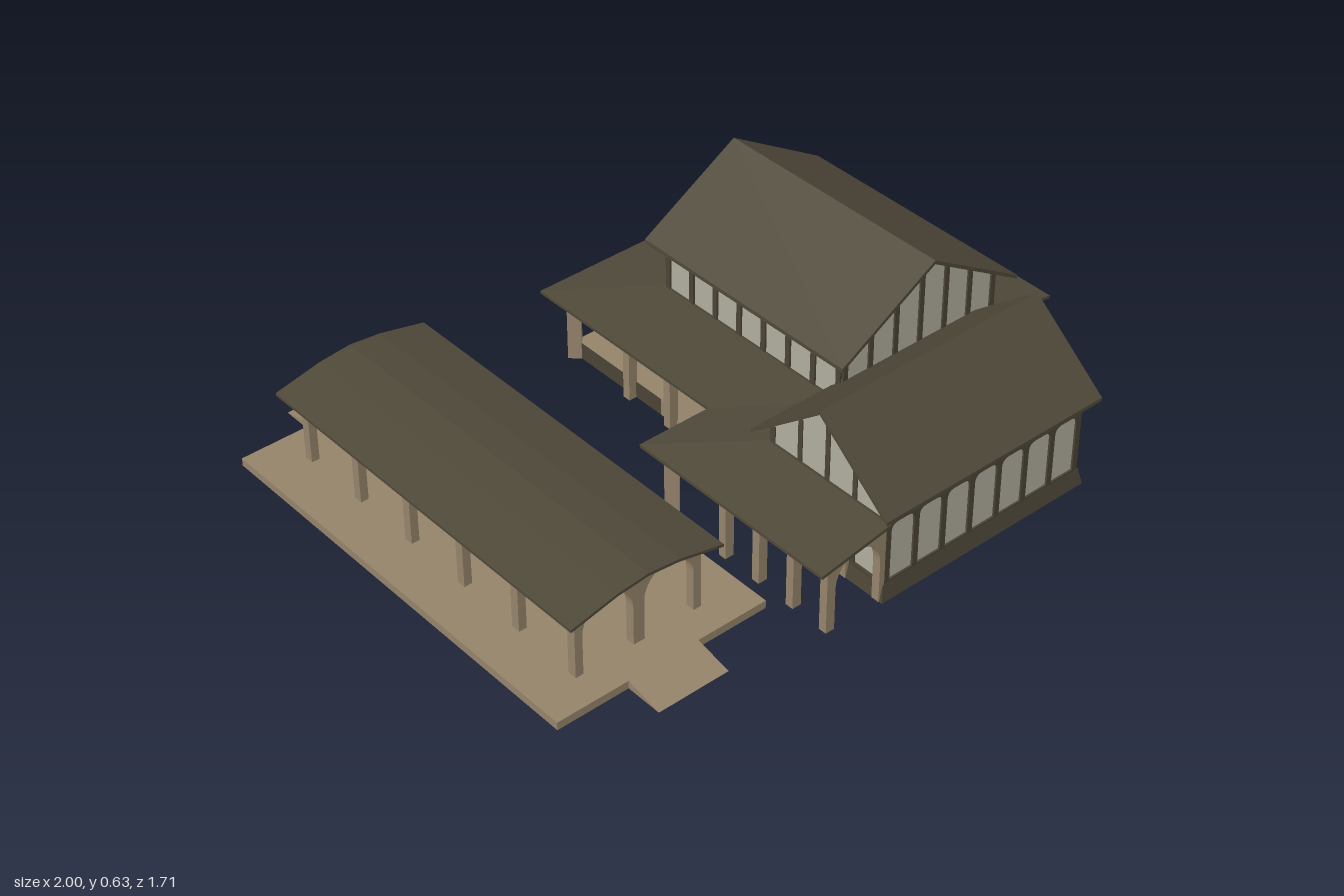
import * as THREE from 'three';

const mat = (name, color, side = THREE.FrontSide) => {
  const m = new THREE.MeshStandardMaterial({ color, side });
  m.name = name;
  return m;
};

export function createModel() {
  const root = new THREE.Group();
  root.name = 'stationBuildings';
  const plaster = mat('plaster', 0xb0ad9d, THREE.DoubleSide);
  const timber = mat('darkTimber', 0x4a4435);
  const roofing = mat('roofing', 0x4e4838, THREE.DoubleSide);
  const wood = mat('paleWood', 0x94836a);

  const add = (parent, name, geo, material, x = 0, y = 0, z = 0, ry = 0) => {
    const m = new THREE.Mesh(geo, material);
    m.name = name;
    m.position.set(x, y, z);
    m.rotation.y = ry;
    parent.add(m);
    return m;
  };
  const box = (parent, name, material, x0, x1, y0, y1, z0, z1) =>
    add(parent, name, new THREE.BoxGeometry(x1 - x0, y1 - y0, z1 - z0), material,
      (x0 + x1) / 2, (y0 + y1) / 2, (z0 + z1) / 2);
  const poly = (pts) => new THREE.Shape(pts.map(p => new THREE.Vector2(p[0], p[1])));
  const extrude = (shape, depth) =>
    new THREE.ExtrudeGeometry(shape, { depth, bevelEnabled: false, curveSegments: 10 });

  // Sloping slab: a top outline repeated lower down, with edges
  const slab = (parent, name, pts, t = 0.01) => {
    const pos = [], n = pts.length;
    const low = pts.map(p => [p[0], p[1] - t, p[2]]);
    for (let i = 1; i < n - 1; i++) {
      pos.push(...pts[0], ...pts[i], ...pts[i + 1], ...low[0], ...low[i + 1], ...low[i]);
    }
    for (let i = 0; i < n; i++) {
      const j = (i + 1) % n;
      pos.push(...pts[i], ...low[i], ...low[j], ...pts[i], ...low[j], ...pts[j]);
    }
    const g = new THREE.BufferGeometry();
    g.setAttribute('position', new THREE.Float32BufferAttribute(pos, 3));
    g.computeVertexNormals();
    return add(parent, name, g, roofing);
  };

  // Timber grid: a thin plate with one opening per bay, round-cornered at the top
  const timberFrame = (parent, name, len, n, y0, y1, r, x, z, ry) => {
    const s = poly([[-len / 2, y0], [len / 2, y0], [len / 2, y1], [-len / 2, y1]]);
    const w = 0.018, step = (len - w) / (n - 1);
    for (let i = 0; i < n - 1; i++) {
      const a = -len / 2 + w + i * step, b = a + step - w, top = y1 - 0.022;
      const h = new THREE.Path();
      h.moveTo(a, y0 + 0.012);
      h.lineTo(b, y0 + 0.012);
      h.lineTo(b, top - r);
      h.quadraticCurveTo(b, top, b - r, top);
      h.lineTo(a + r, top);
      h.quadraticCurveTo(a, top, a, top - r);
      s.holes.push(h);
    }
    add(parent, name, extrude(s, 0.006), timber, x, 0, z, ry);
  };

  // Timber-framed house with its ridge along local z
  const house = (name, x, z, ry, o) => {
    const g = new THREE.Group();
    g.name = name;
    g.position.set(x, 0, z);
    g.rotation.y = ry;
    root.add(g);
    const { hw, len, rhw, rlen, eave, ridge } = o;
    const roofY = u => ridge - (ridge - eave) * Math.abs(u) / rhw;
    const wallY = u => roofY(u) - 0.012;
    const outline = [[-hw, 0.015], [hw, 0.015], [hw, wallY(hw)], [0, wallY(0)], [-hw, wallY(hw)]];
    const wallH = wallY(hw) - 0.015;
    for (const s of [-1, 1]) {
      const endRy = s > 0 ? 0 : Math.PI;
      add(g, 'gableWall', new THREE.ShapeGeometry(poly(outline)), plaster, 0, 0, s * len / 2, endRy);
      add(g, 'sideWall', new THREE.PlaneGeometry(len, wallH), plaster,
        s * hw, 0.015 + wallH / 2, 0, s * Math.PI / 2);
      slab(g, 'roofSlope', [[0, ridge, -rlen / 2], [0, ridge, rlen / 2],
        [s * rhw, eave, rlen / 2], [s * rhw, eave, -rlen / 2]], 0.012);
      // Side framing in two tiers
      timberFrame(g, 'sideFrame', len, 8, 0.06, 0.277, 0.025, s * hw, 0, s * Math.PI / 2);
      timberFrame(g, 'upperSideFrame', len, 8, 0.265, wallY(hw), 0.002, s * hw, 0, s * Math.PI / 2);
      // Gable framing
      timberFrame(g, 'gableFrame', hw * 2, o.posts, 0.06, 0.277, 0.015, 0, s * len / 2, endRy);
      for (let i = 0; i < o.posts; i++) {
        const u = -hw + 0.009 + i * (2 * hw - 0.018) / (o.posts - 1);
        const top = wallY(Math.abs(u) + 0.008);
        box(g, 'gablePost', timber, u - 0.008, u + 0.008, 0.27, top, s * len / 2 - 0.003, s * len / 2 + 0.006);
      }
      const p = 0.045;
      add(g, 'gablePeak', extrude(poly([[-p, wallY(p)], [p, wallY(p)], [0, wallY(0)]]), 0.008),
        timber, 0, 0, s * len / 2 - 0.001);
    }
    return g;
  };

  house('mainHall', 0.465, 0.025, 0,
    { hw: 0.285, len: 0.71, rhw: 0.328, rlen: 0.8, eave: 0.43, ridge: 0.627, posts: 7 });
  const front = house('frontHall', 0.288, 0.597, Math.PI / 2,
    { hw: 0.215, len: 0.72, rhw: 0.255, rlen: 0.79, eave: 0.31, ridge: 0.515, posts: 5 });

  // Flared plinth of the front hall
  const pg = new THREE.BoxGeometry(0.464, 0.05, 0.752);
  const pp = pg.attributes.position;
  for (let i = 0; i < pp.count; i++) {
    if (pp.getY(i) > 0) pp.setXYZ(i, pp.getX(i) * 0.955, pp.getY(i), pp.getZ(i) * 0.97);
  }
  pg.computeVertexNormals();
  add(front, 'plinth', pg, timber, 0, 0.04, 0);
  box(root, 'mainPlinth', timber, 0.6, 0.765, 0.015, 0.06, 0.36, 0.395);

  // Arched doorway
  const archPath = (Type, r, y0, spring) => {
    const s = new Type();
    s.moveTo(-r, y0);
    s.lineTo(r, y0);
    s.lineTo(r, spring);
    s.absarc(0, spring, r, 0, Math.PI, false);
    s.lineTo(-r, y0);
    return s;
  };
  add(front, 'doorPanel', extrude(archPath(THREE.Shape, 0.1, 0.03, 0.13), 0.02), plaster, 0, 0, 0.358);
  const ring = archPath(THREE.Shape, 0.115, 0.03, 0.13);
  ring.holes.push(archPath(THREE.Path, 0.098, 0.036, 0.13));
  add(front, 'doorArch', extrude(ring, 0.035), timber, 0, 0, 0.358);
  for (const u of [-0.075, 0, 0.07]) {
    const h = 0.13 + Math.sqrt(0.0096 - u * u);
    box(front, 'doorBar', timber, u - 0.004, u + 0.004, 0.036, h, 0.376, 0.382);
  }
  box(root, 'doorStep', wood, 0.65, 0.75, 0.015, 0.035, 0.47, 0.71);

  // Turned corner column where the halls meet
  const column = [[0, 0.015], [0.032, 0.015], [0.028, 0.06], [0.012, 0.08], [0.012, 0.28],
    [0.02, 0.295], [0.02, 0.32], [0.008, 0.34], [0, 0.342]].map(p => new THREE.Vector2(...p));
  add(root, 'cornerColumn', new THREE.LatheGeometry(column, 10), timber, 0.665, 0, 0.395);

  // Veranda roofs, mitred at hips and valley
  const H = 0.277, L = 0.236;
  slab(root, 'rightVerandaRoof', [[0.75, H, 0.37], [1, L, 0.37], [1, L, -0.59], [0.75, H, -0.335]]);
  slab(root, 'backVerandaRoof', [[0.75, H, -0.335], [1, L, -0.59], [-0.07, L, -0.59], [0.18, H, -0.335]]);
  slab(root, 'leftVerandaRoof', [[0.18, H, -0.335], [-0.07, L, -0.59], [-0.07, L, 0.13], [0.18, H, 0.383]]);
  slab(root, 'innerVerandaRoof', [[0.18, H, 0.383], [-0.07, L, 0.13], [-0.31, L, 0.13], [-0.07, H, 0.383]]);
  slab(root, 'sideVerandaRoof', [[-0.07, H, 0.383], [-0.31, L, 0.13], [-0.31, L, 0.835], [-0.07, H, 0.835]]);

  // Veranda arch running from a wall (u = 0) out to a post
  const archTop = (s, a, b, spring, top) => {
    s.lineTo(a, spring);
    const c = (a + b) / 2, k = 0.55;
    s.bezierCurveTo(a, spring + (top - spring) * k, c + (a - c) * k, top, c, top);
    s.bezierCurveTo(c + (b - c) * k, top, b, spring + (top - spring) * k, b, spring);
  };
  const verandaArch = (x, z, ry, stretch = 1) => {
    const s = new THREE.Shape();
    s.moveTo(0, 0.015);
    s.lineTo(0.02, 0.015);
    archTop(s, 0.02, 0.176, 0.15, 0.235);
    s.lineTo(0.176, 0.015);
    s.lineTo(0.205, 0.015);
    s.lineTo(0.205, 0.238);
    s.lineTo(0, 0.27);
    const g = extrude(s, 0.026);
    g.translate(0, 0, -0.013);
    g.scale(stretch, 1, 1);
    add(root, 'verandaArch', g, wood, x, 0, z, ry);
  };
  for (const z of [0.25, 0.08, -0.095, -0.27]) verandaArch(0.75, z, 0);
  for (const z of [0.08, -0.095, -0.27]) verandaArch(0.18, z, Math.PI);
  for (const x of [0.21, 0.335, 0.465, 0.595, 0.72]) verandaArch(x, -0.335, Math.PI / 2);
  for (const z of [0.42, 0.55, 0.68, 0.805]) verandaArch(-0.07, z, Math.PI);
  verandaArch(0.75, -0.335, Math.PI / 4, 1.38);
  verandaArch(0.18, -0.335, Math.PI * 0.75, 1.38);
  verandaArch(-0.07, 0.383, Math.PI * 0.75, 1.38);
  verandaArch(-0.06, 0.383, Math.PI / 2);

  // Raised veranda floors with pale tops and ramps
  const deck = [timber, timber, wood, timber, timber, timber];
  box(root, 'rightDeck', deck, 0.75, 0.93, 0.015, 0.07, -0.52, 0.27);
  box(root, 'backDeck', deck, 0.18, 0.75, 0.015, 0.07, -0.52, -0.335);
  box(root, 'leftDeck', deck, 0, 0.18, 0.015, 0.07, -0.52, -0.15);
  const ramp = (name, len, h, depth, x, y, z, ry) =>
    add(root, name, extrude(poly([[0, 0], [len, 0], [0, h]]), depth), wood, x, y, z, ry);
  ramp('rightDeckRamp', 0.1, 0.055, 0.18, 0.93, 0.015, 0.27, -Math.PI / 2);
  ramp('leftDeckRamp', 0.1, 0.055, 0.18, 0.18, 0.015, -0.15, -Math.PI / 2);

  // Island platform with end ramps
  box(root, 'platform', wood, -1, -0.312, 0, 0.025, -0.742, 0.632);
  ramp('platformFrontRamp', 0.116, 0.025, 0.23, -0.542, 0, 0.632, -Math.PI / 2);
  ramp('platformBackRamp', 0.116, 0.025, 0.23, -0.772, 0, -0.742, Math.PI / 2);

  // Platform canopy: a shallow curved roof on twin-arched frames
  const cx = -0.658;
  const curve = [[-0.248, 0.235], [-0.1, 0.268], [0, 0.278], [0.1, 0.268], [0.248, 0.235]];
  for (let i = 0; i < 4; i++) {
    const [a, b] = [curve[i], curve[i + 1]];
    slab(root, 'canopyRoof', [[cx + a[0], a[1], -0.685], [cx + a[0], a[1], 0.578],
      [cx + b[0], b[1], 0.578], [cx + b[0], b[1], -0.685]], 0.009);
  }
  const twin = new THREE.Shape();
  twin.moveTo(-0.207, 0.02);
  twin.lineTo(-0.182, 0.02);
  archTop(twin, -0.182, -0.018, 0.15, 0.236);
  twin.lineTo(-0.018, 0.02);
  twin.lineTo(0.018, 0.02);
  archTop(twin, 0.018, 0.182, 0.15, 0.236);
  twin.lineTo(0.182, 0.02);
  twin.lineTo(0.207, 0.02);
  twin.lineTo(0.207, 0.238);
  twin.lineTo(0.1, 0.262);
  twin.lineTo(0, 0.272);
  twin.lineTo(-0.1, 0.262);
  twin.lineTo(-0.207, 0.238);
  const twinGeo = extrude(twin, 0.028);
  for (let i = 0; i < 6; i++) add(root, 'canopyFrame', twinGeo, wood, cx, 0, -0.63 + i * 0.228);

  return root;
}
